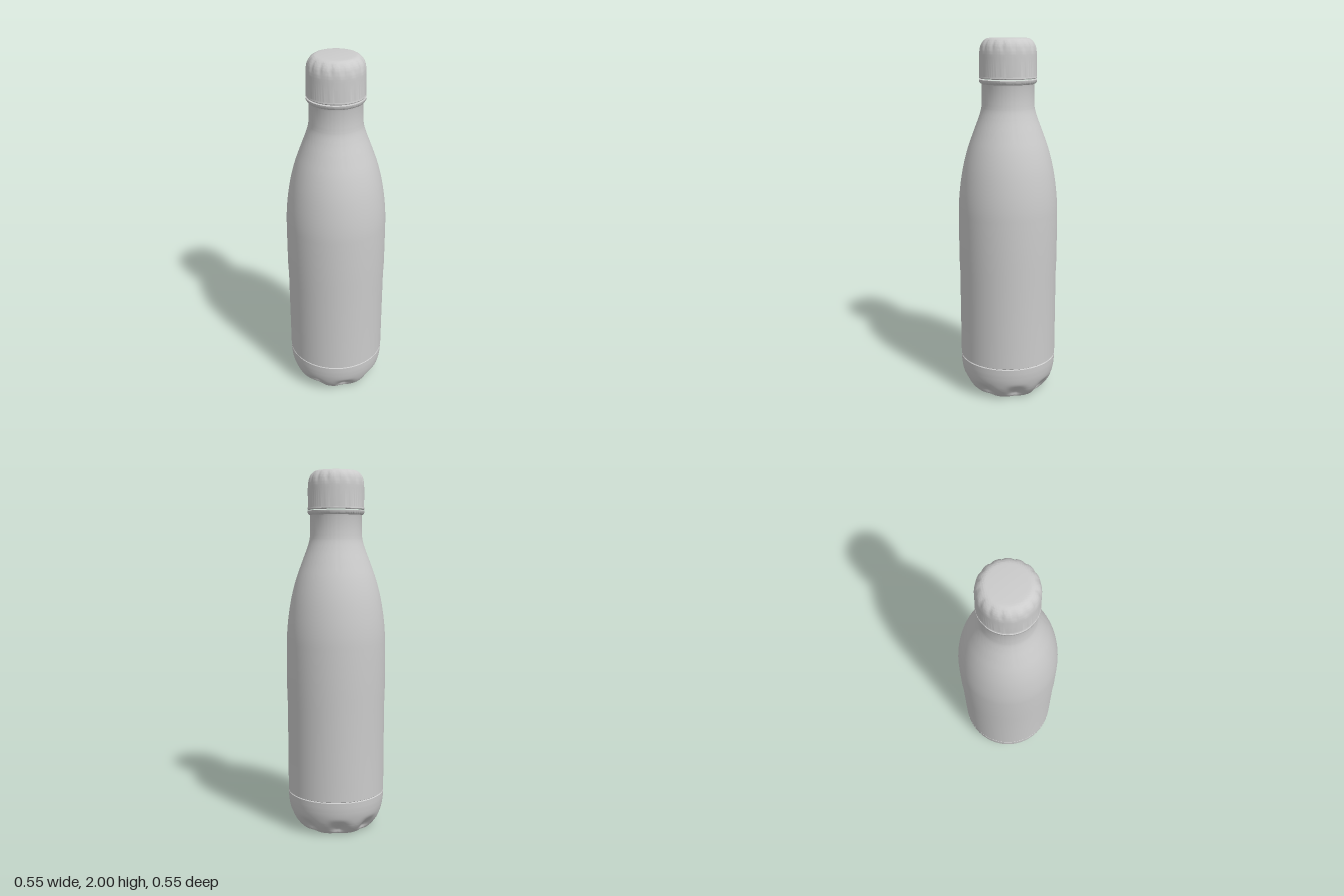
import * as THREE from 'three';
import { toCreasedNormals, mergeVertices } from 'three/addons/utils/BufferGeometryUtils.js';

const SEGMENTS = 128;
const material = new THREE.MeshStandardMaterial({ color: 0xcccccc });

// Turned part; squeeze(angle, y, r) gives how far each point is pushed inward.
function turned(name, profile, squeeze) {
  const points = profile.map(([r, y]) => new THREE.Vector2(r, y));
  let geometry = new THREE.LatheGeometry(points, SEGMENTS);
  geometry.deleteAttribute('uv');
  geometry.deleteAttribute('normal');
  const pos = geometry.attributes.position;
  if (squeeze) {
    for (let i = 0; i < pos.count; i++) {
      const x = pos.getX(i), y = pos.getY(i), z = pos.getZ(i);
      const r = Math.hypot(x, z);
      if (r < 1e-5) continue;
      const k = 1 - squeeze(Math.atan2(x, z), y, r) / r;
      pos.setXYZ(i, x * k, y, z * k);
    }
  }
  geometry = toCreasedNormals(mergeVertices(geometry, 1e-5), 0.6);
  const mesh = new THREE.Mesh(geometry, material);
  mesh.name = name;
  return mesh;
}

// Smooth run of profile points through a few control points
function smooth(controls, count) {
  const curve = new THREE.CatmullRomCurve3(controls.map(([r, y]) => new THREE.Vector3(r, y, 0)));
  return curve.getPoints(count).map((p) => [p.x, p.y]);
}

export function createModel() {
  const group = new THREE.Group();
  group.name = 'bottle';

  // Base cup with eight scooped dents around the foot
  const foot = smooth([[0.195, 0], [0.218, 0.022], [0.246, 0.062], [0.264, 0.115], [0.271, 0.16], [0.273, 0.2]], 28);
  group.add(turned('base', [[0, 0], ...foot, [0.267, 0.205]], (a, y, r) => {
    if (r < 0.1) return 0;
    const wave = Math.pow(0.5 + 0.5 * Math.cos(8 * a), 1.5);
    const fade = 1 - THREE.MathUtils.smoothstep(y, 0.035, 0.105);
    const rise = 0.35 + 0.65 * THREE.MathUtils.smoothstep(y, 0, 0.03);
    return 0.03 * wave * fade * rise;
  }));

  // Body: straight wall, long shoulder and neck
  const shoulder = smooth([[0.277, 1.0], [0.275, 1.1], [0.266, 1.2], [0.248, 1.31], [0.222, 1.41],
    [0.19, 1.5], [0.16, 1.58], [0.147, 1.625], [0.143, 1.66]], 40);
  group.add(turned('body', [[0.267, 0.203], [0.273, 0.207], [0.274, 0.7], [0.277, 0.78], ...shoulder,
    [0.142, 1.75], [0.146, 1.765], [0.15, 1.782]]));

  // Collar ring beneath the cap
  group.add(turned('collar', [[0.14, 1.757], [0.15, 1.762], [0.156, 1.77], [0.157, 1.782], [0.15, 1.784], [0.14, 1.784]]));

  // Cap with shallow pleats around its rounded shoulder
  const dome = smooth([[0.155, 1.9], [0.153, 1.935], [0.145, 1.966], [0.13, 1.986], [0.112, 1.997], [0.09, 2]], 24);
  group.add(turned('cap', [[0.14, 1.788], [0.154, 1.788], [0.157, 1.793], [0.155, 1.8], ...dome, [0, 2]], (a, y, r) => {
    if (r < 0.092) return 0;
    const pleat = Math.pow(0.5 + 0.5 * Math.cos(16 * a), 3);
    const band = THREE.MathUtils.smoothstep(y, 1.915, 1.96) * (1 - THREE.MathUtils.smoothstep(y, 1.975, 2));
    return 0.005 * pleat * band;
  }));

  return group;
}
